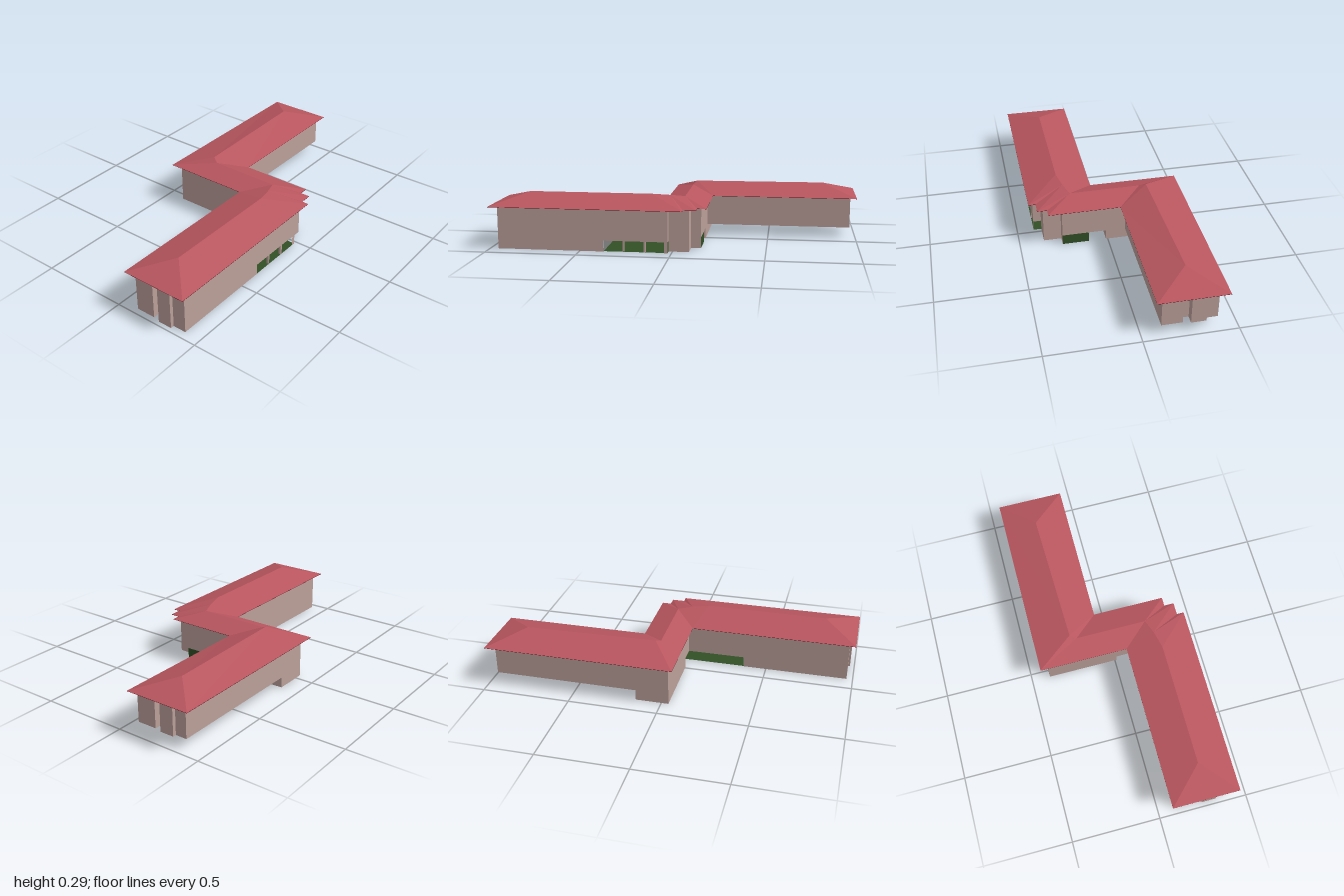
import * as THREE from 'three';

const EAVE = 0.235, FLOOR = 0.06;

const material = (name, color) => {
  const m = new THREE.MeshStandardMaterial({ color, side: THREE.DoubleSide });
  m.name = name;
  return m;
};

// Flat-shaded mesh from triangles or quads given as lists of [x, y, z]
function facets(name, faces, mat) {
  const pos = [];
  const add = (...p) => p.forEach(v => pos.push(...v));
  for (const [a, b, c, d] of faces) {
    add(a, b, c);
    if (d) add(a, c, d);
  }
  const g = new THREE.BufferGeometry();
  g.setAttribute('position', new THREE.Float32BufferAttribute(pos, 3));
  g.computeVertexNormals();
  const mesh = new THREE.Mesh(g, mat);
  mesh.name = name;
  return mesh;
}

// Thin upright walls along a plan path of [x, z]
function walls(name, path, y0, y1, mat) {
  const faces = path.slice(1).map(([x, z], i) => {
    const [px, pz] = path[i];
    return [[px, y0, pz], [x, y0, z], [x, y1, z], [px, y1, pz]];
  });
  return facets(name, faces, mat);
}

// Flat horizontal slab from a plan outline of [x, z]
function slab(name, outline, y, mat) {
  const shape = new THREE.Shape(outline.map(([x, z]) => new THREE.Vector2(x, -z)));
  const mesh = new THREE.Mesh(new THREE.ShapeGeometry(shape).rotateX(-Math.PI / 2), mat);
  mesh.position.y = y;
  mesh.name = name;
  return mesh;
}

export function createModel() {
  const group = new THREE.Group();
  const wallMat = material('wall pink', 0xbca09a);
  const roofMat = material('roof red', 0xb9565f);
  const soffitMat = material('soffit maroon', 0x450a14);
  const greenMat = material('entrance green', 0x315026);
  const greyMat = material('passage grey', 0x7d807e);

  // Roof eaves, clockwise from the back corner of the front wing
  const eaves = [
    [-1, 0.06], [-0.07, 0.06], [-0.07, -0.44], [1, -0.44], [1, -0.065], [0.18, -0.065],
    [0.18, 0.34], [0.13, 0.34], [0.13, 0.395], [0.06, 0.395], [0.06, 0.435], [-1, 0.435],
  ];
  const [a, b, c, d, e, f, g, h, i, j, k, l] = eaves.map(([x, z]) => [x, EAVE, z]);
  // Ridge points, front wing to back wing
  const r1 = [-0.81, 0.295, 0.25], r2 = [-0.13, 0.295, 0.25], p = [-0.03, 0.287, 0.228];
  const r3 = [0.05, 0.277, 0.2], r4 = [0.05, 0.277, -0.2];
  const r5 = [0.07, 0.295, -0.235], r6 = [0.81, 0.295, -0.255];
  const roofFaces = [
    [l, a, r1], [a, b, r2, r1], [l, k, r2, r1],              // front wing
    [k, j, p, r2], [j, i, p], [i, h, r3, p], [h, g, r3],     // stepped corner
    [b, r2, p], [b, p, r3], [b, c, r4, r3], [g, f, r4, r3],  // link
    [c, r5, r4], [f, r5, r4],
    [c, d, r6, r5], [d, e, r6], [e, f, r5, r6],              // back wing
  ].map(face => {
    // turn every slope to face upward
    const [u, v, w] = face.map(q => new THREE.Vector3(...q));
    const up = v.clone().sub(u).cross(w.clone().sub(u)).y;
    return up < 0 ? face.slice().reverse() : face;
  });
  group.add(facets('roof', roofFaces, roofMat));
  group.add(slab('soffit', eaves, EAVE - 0.002, soffitMat));

  // Stepped gable end of the back wing; the front wing has the same end turned half round
  const backEnd = [
    [0.955, -0.395], [0.955, -0.33], [0.975, -0.33], [0.975, -0.25], [0.93, -0.25],
    [0.93, -0.21], [0.965, -0.21], [0.965, -0.1],
  ];
  const frontEnd = backEnd.map(([x, z]) => [-x, z < -0.39 ? 0.405 : -z]);
  const corner = [[0.145, 0.26], [0.09, 0.26], [0.09, 0.36], [-0.02, 0.36]];

  // Upper storey shell, open underneath
  group.add(walls('upperWalls', [
    [-0.04, 0.1], [-0.04, -0.395], ...backEnd, [0.145, -0.1], ...corner,
    [-0.02, 0.405], ...frontEnd, [-0.04, 0.1],
  ], FLOOR, EAVE, wallMat));

  // Ground storey
  group.add(walls('frontWingBase', [[-0.37, 0.405], ...frontEnd, [-0.37, 0.1]], 0, FLOOR, wallMat));
  group.add(walls('linkBase', [
    [-0.04, 0.01], [0.145, 0.01], [0.145, -0.395], [-0.04, -0.395], [-0.04, 0.01],
  ], 0, FLOOR, wallMat));
  group.add(walls('cornerBase', corner, 0, FLOOR, wallMat));
  group.add(walls('cornerPier', [[-0.04, 0.405], [-0.02, 0.405]], 0, FLOOR, wallMat));

  // Open passage: green floor and side panel, grey end wall and ceiling
  const ring = [...corner, [-0.02, 0.405], [-0.37, 0.405], [-0.37, 0.1]];
  group.add(slab('passageFloor', [...ring, [-0.02, 0.1], [0.145, 0.11]], 0.002, greenMat));
  group.add(slab('passageCeiling', [
    ...ring, [-0.04, 0.1], [-0.04, 0.01], [0.145, 0.01],
  ], FLOOR, greyMat));
  group.add(walls('sidePanel', [[0.145, 0.26], [0.145, 0.11]], 0, FLOOR, greenMat));
  group.add(walls('passageEndWall', [[-0.368, 0.1], [-0.368, 0.405]], 0, FLOOR, greyMat));

  // Slim posts across the front opening
  for (const [x, w] of [[-0.26, 0.007], [-0.145, 0.012]]) {
    const post = new THREE.Mesh(new THREE.BoxGeometry(w, FLOOR, 0.012), wallMat);
    post.position.set(x, FLOOR / 2, 0.398);
    post.name = 'passagePost';
    group.add(post);
  }
  return group;
}
